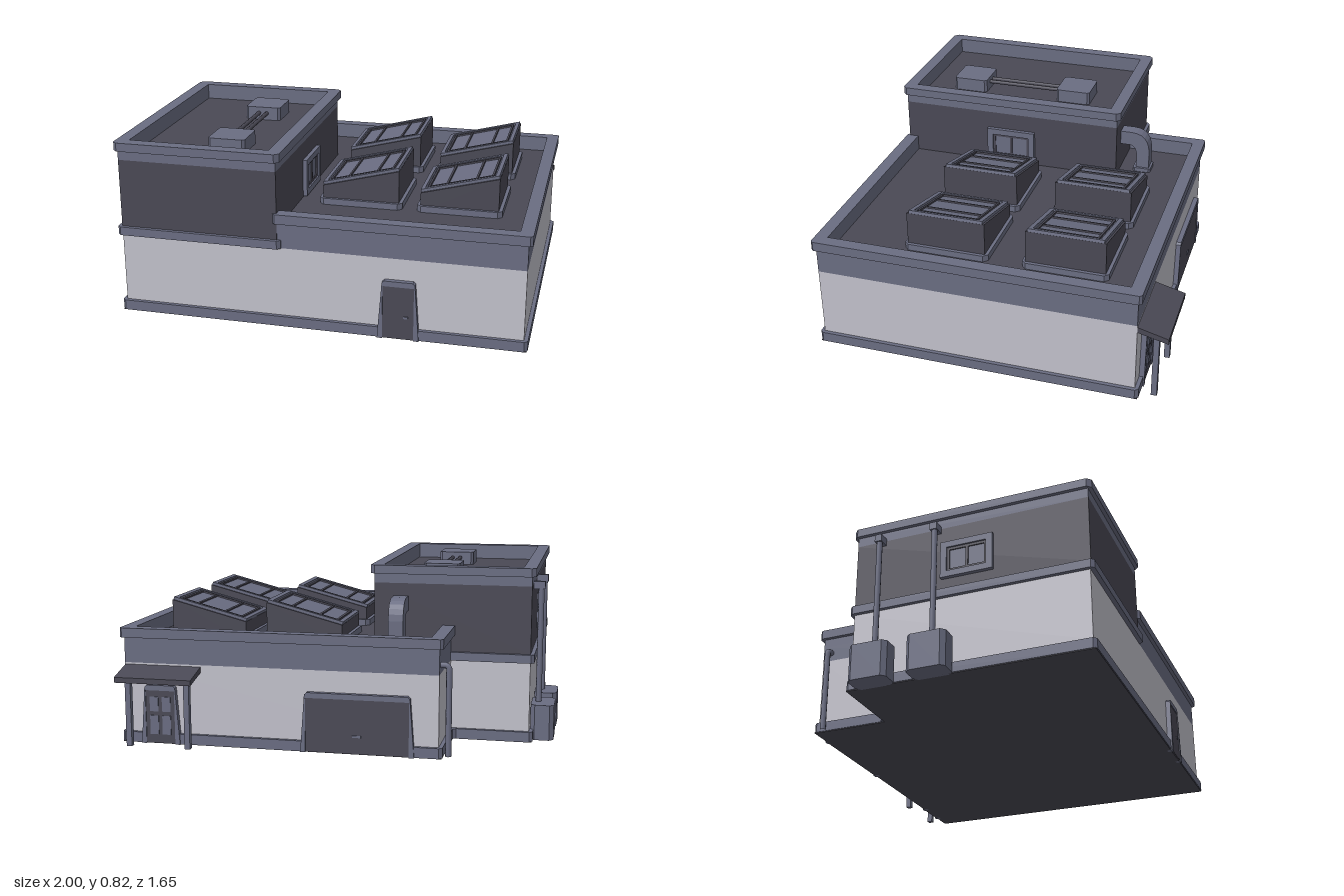
import * as THREE from 'three';

const mat = (name, color) => Object.assign(new THREE.MeshStandardMaterial({ color }), { name });

export function createModel() {
  const model = new THREE.Group();
  model.name = 'building';
  const wall = mat('pale wall', 0xc2c1cb);
  const trim = mat('blue grey trim', 0x6a6d82);
  const dark = mat('dark grey', 0x4a4955);

  const add = (name, geo, material, parent = model) => {
    const m = new THREE.Mesh(geo, material);
    m.name = name;
    parent.add(m);
    return m;
  };
  const box = (name, x0, x1, y0, y1, z0, z1, material, parent) => {
    const m = add(name, new THREE.BoxGeometry(x1 - x0, y1 - y0, z1 - z0), material, parent);
    m.position.set((x0 + x1) / 2, (y0 + y1) / 2, (z0 + z1) / 2);
    return m;
  };

  // cut the corners of a plan outline
  const chamfer = (pts, c) => pts.flatMap((p, i) => {
    const n = pts.length, v = new THREE.Vector2(...p);
    return [pts[(i + n - 1) % n], pts[(i + 1) % n]].map(q => {
      const d = new THREE.Vector2(...q).sub(v).setLength(c);
      return v.clone().add(d);
    });
  });
  const flat = pts => pts.map(([x, z]) => [x, -z]);
  // horizontal slab from an x/z outline, optionally with an opening
  const slab = (name, pts, y0, y1, material, c = 0, hole = null) => {
    const outline = c ? chamfer(flat(pts), c) : flat(pts).map(p => new THREE.Vector2(...p));
    const s = new THREE.Shape(outline);
    if (hole) s.holes.push(new THREE.Path(flat(hole).map(p => new THREE.Vector2(...p))));
    const g = new THREE.ExtrudeGeometry(s, { depth: y1 - y0, bevelEnabled: false });
    g.rotateX(-Math.PI / 2).translate(0, y0, 0);
    return add(name, g, material);
  };
  const rect = (x0, x1, z0, z1) => [[x0, z1], [x1, z1], [x1, z0], [x0, z0]];
  // stepped footprint, shrunk by d from the plinth outline
  const footprint = d => [
    [-0.905 + d, 0.822 - d], [0.995 - d, 0.822 - d], [0.995 - d, -0.706 + d],
    [-0.53 + d, -0.706 + d], [-0.53 + d, -0.333 + d], [-0.905 + d, -0.333 + d]];
  // main roof outline beside the tower
  const wing = (d, x, z) => [
    [x, 0.822 - d], [0.995 - d, 0.822 - d], [0.995 - d, -0.706 + d],
    [-0.53 + d, -0.706 + d], [-0.53 + d, z], [x, z]];

  // ground floor
  slab('underside', footprint(0.004), 0, 0.004, dark);
  slab('plinth', footprint(0), 0.003, 0.05, trim, 0.015);
  slab('groundFloorWalls', footprint(0.018), 0.05, 0.38, wall);

  // main roof with parapet
  const mainHole = wing(0.06, -0.146, -0.308);
  slab('upperBand', wing(0.018, -0.16, -0.3), 0.38, 0.46, trim);
  slab('mainRoof', wing(0.03, -0.155, -0.305), 0.455, 0.47, dark);
  slab('parapetWall', wing(0.018, -0.16, -0.3), 0.46, 0.5, trim, 0, mainHole);
  slab('mainParapet', wing(0, -0.16, -0.3), 0.5, 0.545, trim, 0.012, mainHole);

  // tower storey
  const tower = d => rect(-0.905 + d, -0.125 - d, -0.333 + d, 0.825 - d);
  slab('towerTrim', tower(0), 0.38, 0.42, trim, 0.015);
  slab('towerWalls', tower(0.018), 0.42, 0.74, dark);
  slab('towerRoof', tower(0.03), 0.735, 0.75, dark);
  slab('towerBand', tower(0.018), 0.74, 0.785, trim, 0, tower(0.06));
  slab('towerParapet', tower(0), 0.785, 0.825, trim, 0.02, tower(0.06));

  // roof units joined by two pipes
  for (const z of [-0.028, 0.532])
    slab('roofUnit', rect(-0.523, -0.347, z - 0.088, z + 0.088), 0.75, 0.815, trim, 0.012);
  for (const x of [-0.455, -0.415]) {
    const p = add('roofPipe', new THREE.CylinderGeometry(0.01, 0.01, 0.39, 8), dark);
    p.rotation.x = Math.PI / 2;
    p.position.set(x, 0.785, 0.252);
  }

  // sloped skylights
  const ring = (w, h, iw, ih, t) => {
    const r = (a, b) => [[-a, -b], [a, -b], [a, b], [-a, b]].map(p => new THREE.Vector2(p[0] / 2, p[1] / 2));
    const s = new THREE.Shape(r(w, h));
    s.holes.push(new THREE.Path(r(iw, ih)));
    return new THREE.ExtrudeGeometry(s, { depth: t, bevelEnabled: false });
  };
  for (const cx of [0.155, 0.622]) for (const cz of [-0.318, 0.242]) {
    slab('skylightSkirt', rect(cx - 0.198, cx + 0.198, cz - 0.2, cz + 0.2), 0.465, 0.5, trim, 0.02);
    const side = new THREE.Shape([[-0.182, 0.465], [0.182, 0.465], [0.182, 0.655], [-0.182, 0.56]]
      .map(p => new THREE.Vector2(...p)));
    const g = new THREE.ExtrudeGeometry(side, { depth: 0.37, bevelEnabled: false });
    add('skylightBox', g, dark).position.set(cx, 0, cz - 0.185);
    const lid = new THREE.Group();
    lid.name = 'skylightLid';
    lid.position.set(cx, 0.6075, cz);
    lid.rotation.z = Math.atan2(0.095, 0.364);
    model.add(lid);
    box('glass', -0.165, 0.165, -0.004, 0.004, -0.15, 0.15, trim, lid);
    add('outerFrame', ring(0.374, 0.35, 0.335, 0.31, 0.014).rotateX(-Math.PI / 2), trim, lid);
    add('innerFrame', ring(0.315, 0.29, 0.295, 0.27, 0.012).rotateX(-Math.PI / 2), dark, lid);
    for (const x of [-0.065, 0.075])
      box('glazingBar', x - 0.005, x + 0.005, 0.003, 0.011, -0.14, 0.14, dark, lid);
  }

  // bent vent running from the roof into the tower
  const vent = new THREE.Shape();
  vent.moveTo(-0.465, 0.465);
  vent.lineTo(-0.465, 0.58);
  vent.quadraticCurveTo(-0.46, 0.68, -0.37, 0.68);
  vent.lineTo(-0.31, 0.68);
  vent.lineTo(-0.31, 0.61);
  vent.lineTo(-0.36, 0.61);
  vent.quadraticCurveTo(-0.395, 0.61, -0.4, 0.56);
  vent.lineTo(-0.4, 0.465);
  const ventGeo = new THREE.ExtrudeGeometry(vent, { depth: 0.07, bevelEnabled: false, curveSegments: 6 });
  add('vent', ventGeo.rotateY(-Math.PI / 2), trim).position.x = -0.237;
  slab('ventBase', rect(-0.32, -0.224, -0.475, -0.385), 0.465, 0.49, trim, 0.01);

  // tower windows on both sides
  for (const s of [1, -1]) {
    const win = new THREE.Group();
    win.name = 'towerWindow';
    win.position.set(s > 0 ? -0.143 : -0.887, 0.565, 0.24);
    win.rotation.y = s * Math.PI / 2;
    model.add(win);
    add('windowFrame', ring(0.25, 0.18, 0.19, 0.12, 0.02), trim, win);
    box('windowPane', -0.095, 0.095, -0.06, 0.06, 0, 0.006, trim, win);
    add('windowSash', ring(0.19, 0.12, 0.166, 0.096, 0.012), dark, win);
    box('windowBar', -0.006, 0.006, -0.05, 0.05, 0.004, 0.012, dark, win);
  }

  // doors with flared surrounds, facing +z in their own group
  const doorway = (name, x, z, turn, w, h) => {
    const d = new THREE.Group();
    d.name = name;
    d.position.set(x, 0, z);
    d.rotation.y = turn;
    model.add(d);
    const a = w / 2;
    const s = new THREE.Shape([[-a - 0.024, 0], [-a, 0], [-a, h - 0.025], [a, h - 0.025], [a, 0],
      [a + 0.024, 0], [a + 0.004, h - 0.01], [a - 0.006, h], [-a + 0.006, h], [-a - 0.004, h - 0.01]]
      .map(p => new THREE.Vector2(...p)));
    const g = new THREE.ExtrudeGeometry(s, { depth: 0.028, bevelEnabled: false });
    add('doorSurround', g, trim, d).position.z = -0.022;
    box('doorPanel', -a, a, 0.002, h - 0.02, -0.02, 0.002, dark, d);
    return d;
  };
  const front = doorway('frontDoor', 0.418, 0.822, 0, 0.142, 0.28);
  box('handle', 0.025, 0.045, 0.105, 0.115, 0, 0.007, trim, front);
  const garage = doorway('garageDoor', -0.14, -0.706, Math.PI, 0.48, 0.28);
  box('handle', -0.02, 0.02, 0.08, 0.09, 0, 0.007, trim, garage);
  const back = doorway('backDoor', 0.8, -0.706, Math.PI, 0.142, 0.28);
  for (const x of [-0.03, 0.03]) for (const [y, h] of [[0.19, 0.07], [0.09, 0.09]])
    box('doorPane', x - 0.021, x + 0.021, y - h / 2, y + h / 2, 0, 0.005, trim, back);

  // sloped canopy on posts over the back door
  const canopy = new THREE.Shape([[-0.685, 0.345], [-0.685, 0.372], [-0.826, 0.335], [-0.826, 0.31]]
    .map(p => new THREE.Vector2(-p[0], p[1])));
  const cg = new THREE.ExtrudeGeometry(canopy, { depth: 0.37, bevelEnabled: false });
  add('canopy', cg.rotateY(Math.PI / 2), dark).position.x = 0.605;
  for (const x of [0.645, 0.93])
    box('canopyPost', x - 0.013, x + 0.013, 0, 0.335, -0.78, -0.754, trim);

  // drain pipes bending into the walls
  const drain = (name, x, z, y0, y1, reach) => {
    const path = new THREE.CurvePath();
    const v = (dx, y) => new THREE.Vector3(x + dx, y, z);
    path.add(new THREE.LineCurve3(v(0, y0), v(0, y1 - 0.02)));
    path.add(new THREE.QuadraticBezierCurve3(v(0, y1 - 0.02), v(0, y1), v(0.02, y1)));
    path.add(new THREE.LineCurve3(v(0.02, y1), v(reach, y1)));
    add(name, new THREE.TubeGeometry(path, 40, 0.014, 8), trim);
  };
  for (const z of [-0.185, 0.092]) {
    slab('pipeBox', rect(-1, -0.89, z - 0.092, z + 0.092), 0, 0.17, trim, 0.02);
    drain('wallPipe', -0.922, z, 0.15, 0.735, 0.05);
    box('pipeBracket', -0.94, -0.88, 0.715, 0.75, z - 0.017, z + 0.017, trim);
  }
  drain('cornerPipe', -0.55, -0.645, 0, 0.42, 0.05);
  return model;
}
